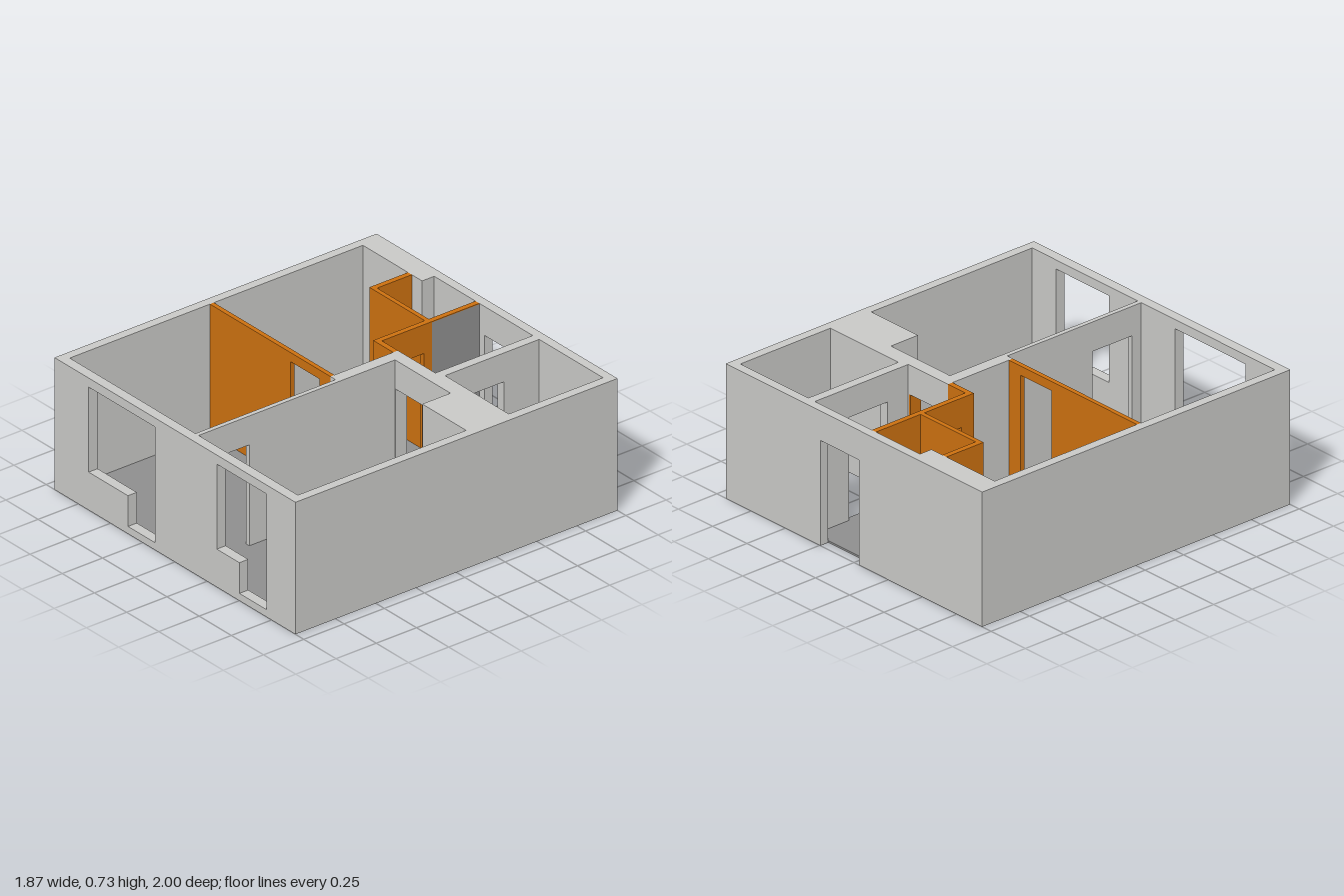
import * as THREE from 'three';

const H = 0.73;      // wall height
const DOOR = 0.57;   // inner door height

export function createModel() {
  const model = new THREE.Group();
  model.name = 'openRoofApartment';
  const mat = (name, color) => {
    const m = new THREE.MeshStandardMaterial({ color });
    m.name = name;
    return m;
  };
  const grey = mat('wall grey', 0xc8c8c6);
  const orange = mat('partition orange', 0xcb7010);
  const dark = mat('floor grey', 0x8e8e8e);

  const add = (name, geometry, material) => {
    const mesh = new THREE.Mesh(geometry, material);
    mesh.name = name;
    model.add(mesh);
    return mesh;
  };
  // Box given by its limits
  const block = (name, m, x0, x1, z0, z1, y0 = 0, y1 = H) =>
    add(name, new THREE.BoxGeometry(x1 - x0, y1 - y0, z1 - z0), m)
      .position.set((x0 + x1) / 2, (y0 + y1) / 2, (z0 + z1) / 2);
  // Wall along x with one doorway from a to b
  const doorWallX = (name, m, x0, x1, z0, z1, a, b, top = DOOR) => {
    block(name, m, x0, a, z0, z1);
    block(name, m, b, x1, z0, z1);
    block(name + 'Lintel', m, a, b, z0, z1, top, H);
  };
  // Wall along z with one doorway from a to b
  const doorWallZ = (name, m, x0, x1, z0, z1, a, b, top = DOOR) => {
    block(name, m, x0, x1, z0, a);
    block(name, m, x0, x1, b, z1);
    block(name + 'Lintel', m, x0, x1, a, b, top, H);
  };
  const outline = (Type, pts) => new Type(pts.map(([x, y]) => new THREE.Vector2(x, y)));
  const rect = (x0, x1, y0, y1) => [[x0, y0], [x1, y0], [x1, y1], [x0, y1]];

  // Front wall with two stepped window-and-door openings
  const front = outline(THREE.Shape, rect(-0.935, 0.935, 0, H));
  for (const [left, step, right] of [[-0.67, -0.365, -0.155], [0.325, 0.5, 0.71]]) {
    front.holes.push(outline(THREE.Path, [
      [left, 0.21], [step, 0.21], [step, 0.04], [right, 0.04], [right, 0.68], [left, 0.68],
    ]));
  }
  const frontGeo = new THREE.ExtrudeGeometry(front, { depth: 0.055, bevelEnabled: false });
  add('frontWall', frontGeo, grey).position.z = 0.945;

  // Other outer walls
  for (const s of [-1, 1]) {
    const [a, b] = s < 0 ? [-0.935, -0.885] : [0.885, 0.935];
    block(s < 0 ? 'rightSideWall' : 'leftSideWall', grey, a, b, -0.95, 0.945);
  }
  doorWallX('backWall', grey, -0.935, 0.935, -1, -0.95, -0.035, 0.245);
  block('backWallThickening', grey, -0.885, -0.425, -0.95, -0.875);

  // Inner grey walls
  doorWallZ('longInnerWall', grey, 0.09, 0.115, 0.075, 0.945, 0.63, 0.885);
  block('thickInnerWall', grey, 0.05, 0.115, -0.275, 0.075);
  doorWallX('hallFrontWall', grey, 0.05, 0.34, -0.345, -0.275, 0.12, 0.335);
  doorWallZ('shaftSideWall', grey, 0.34, 0.39, -0.95, -0.275, -0.73, -0.48);
  block('shaftFrontWall', grey, 0.39, 0.545, -0.365, -0.275);
  block('cornerBlock', grey, 0.545, 0.885, -0.365, -0.1);

  // Orange partitions
  doorWallX('roomPartition', orange, -0.885, 0.05, 0.05, 0.075, -0.26, -0.035, 0.68);
  block('smallRoomSide', orange, -0.535, -0.505, -0.875, -0.635);
  block('smallRoomFront', orange, -0.505, -0.105, -0.66, -0.635);
  doorWallZ('hallPartition', orange, -0.105, -0.075, -0.655, -0.315, -0.605, -0.395);
  block('hallPartitionEnd', orange, -0.075, 0.05, -0.345, -0.315);
  block('hallDoorJamb', orange, 0.325, 0.335, -0.345, -0.275, 0, DOOR);

  // Rear length of the hall partition: grey towards the hall, orange cap and back
  block('hallPanel', dark, -0.1, -0.075, -0.95, -0.655, 0, H - 0.005);
  block('hallPanelBack', orange, -0.105, -0.1, -0.95, -0.655, 0, H - 0.005);
  block('hallPanelCap', orange, -0.105, -0.075, -0.95, -0.655, H - 0.005, H);

  // Floor slab, left open at the shaft
  const floor = outline(THREE.Shape, [
    [-0.886, -0.946], [0.886, -0.946], [0.886, 0.3], [0.365, 0.3], [0.365, 0.951], [-0.886, 0.951],
  ]);
  const floorGeo = new THREE.ExtrudeGeometry(floor, { depth: 0.01, bevelEnabled: false });
  floorGeo.rotateX(-Math.PI / 2);
  add('floor', floorGeo, dark).position.y = 0.002;

  return model;
}
